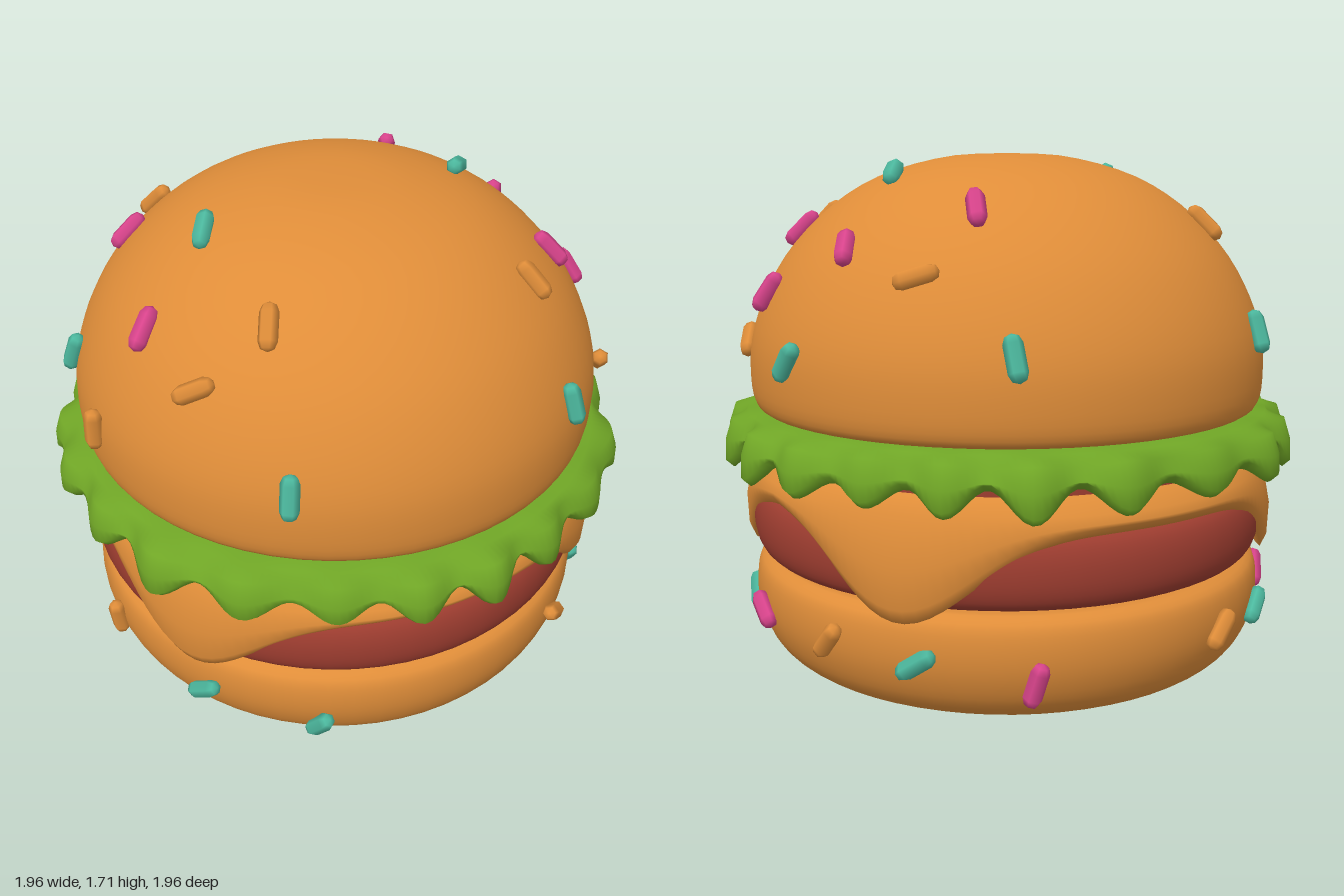
import * as THREE from 'three';
import { mergeVertices } from 'three/addons/utils/BufferGeometryUtils.js';

const mat = (name, color) => Object.assign(new THREE.MeshStandardMaterial({ color }), { name });
const DEG = Math.PI / 180;

// Profile with the rounded middle smoothed and straight runs to the axis
function roundProfile(start, middle, end) {
  const v = (p) => new THREE.Vector2(p[0], p[1]);
  const curve = new THREE.SplineCurve(middle.map(v)).getPoints(middle.length * 3);
  return [...start.map(v), ...curve, ...end.map(v)];
}

// Ring surface whose cross-section changes with the angle around y
function sweep(profileAt, segments) {
  const count = profileAt(0).length;
  const dummy = Array.from({ length: count }, (_, i) => new THREE.Vector2(1, i));
  const geo = new THREE.LatheGeometry(dummy, segments);
  for (let s = 0; s <= segments; s++) {
    const a = ((s % segments) / segments) * Math.PI * 2;
    profileAt(a).forEach(([r, y], i) => {
      geo.attributes.position.setXYZ(s * count + i, r * Math.sin(a), y, r * Math.cos(a));
    });
  }
  geo.deleteAttribute('uv');
  geo.deleteAttribute('normal');
  const merged = mergeVertices(geo);
  merged.computeVertexNormals();
  return merged;
}

// Cheese slice: four corners hang down over the patty
const corners = [51, 124, -58, -129];
function cheeseProfile(a) {
  let e = 0;
  for (const c of corners) {
    const d = Math.abs(((a / DEG - c + 540) % 360 + 360) % 360 - 180);
    e = Math.max(e, Math.exp(-((d / 19) ** 2)));
  }
  const b = 0.62 - 0.265 * e;
  return [
    [0.6, 0.64], [0.83 + 0.05 * e, 0.64], [0.84 + 0.04 * e, b + 0.01], [0.86 + 0.035 * e, b - 0.005],
    [0.88 + 0.035 * e, b + 0.02 + 0.02 * e], [0.88 + 0.04 * e, (b + 0.68) / 2],
    [0.87 + 0.02 * e, 0.675], [0.83, 0.72], [0.75, 0.745], [0, 0.75],
  ];
}

// Lettuce leaf: ruffled outer rim
function lettuceProfile(a) {
  const w = Math.sin(22 * a + 0.9 * Math.sin(3 * a)) * (0.8 + 0.2 * Math.sin(5 * a + 1));
  const R = 0.96 + 0.025 * w + 0.012 * Math.sin(7 * a + 2);
  const yb = 0.735 - 0.045 * w;
  return [
    [0.7, 0.79], [0.85, 0.785 - 0.01 * w], [0.91, yb + 0.02], [R - 0.025, yb - 0.008], [R, yb + 0.015],
    [R - 0.002, 0.785 - 0.01 * w], [R - 0.025, 0.84 + 0.01 * w], [0.89, 0.865], [0.8, 0.875], [0.6, 0.875],
  ];
}

const lowerBun = [[0.66, 0], [0.76, 0.03], [0.83, 0.09], [0.87, 0.18], [0.88, 0.27], [0.865, 0.345], [0.82, 0.375]];
const upperBun = [
  [0.82, 0.865], [0.86, 0.885], [0.877, 0.96], [0.87, 1.1], [0.82, 1.25], [0.73, 1.4],
  [0.59, 1.54], [0.42, 1.64], [0.2, 1.7], [0, 1.71],
];

// Sprinkles: [azimuth from the front, height, roll from upright, colour]
const upperSprinkles = [
  [-35, 1.13, 0, 't'], [31, 1.16, 0, 't'], [-58, 1.35, 55, 'o'], [-44, 1.52, -10, 'o'], [-78, 1.42, -15, 'p'],
  [-84, 1.08, 0, 'o'], [-87, 1.625, -50, 't'], [-106, 1.15, 10, 't'], [-123, 1.46, -20, 'p'],
  [-141, 1.47, 0, 'o'], [-149, 1.14, 10, 't'], [146, 1.13, -10, 't'], [125, 1.34, 70, 'o'],
  [136, 1.53, -12, 'p'], [96, 1.08, 35, 't'], [103, 1.41, -30, 'p'], [90, 1.63, -45, 't'],
  [57, 1.08, -50, 'o'], [77, 1.26, 15, 'p'], [61, 1.45, 5, 'p'], [39, 1.48, 0, 'o'],
];
const lowerSprinkles = [
  [-85, 0.24, 0, 'o'], [-56, 0.22, 55, 't'], [-30, 0.17, 30, 't'], [32, 0.26, -55, 'o'], [58, 0.18, -35, 't'],
  [82, 0.24, -55, 'p'], [107, 0.25, 40, 'o'], [127, 0.23, 55, 't'], [150, 0.18, 15, 'p'],
  [-167, 0.24, 40, 'o'], [-148, 0.23, 55, 't'], [-124, 0.24, 35, 'p'],
];

export function createModel() {
  const model = new THREE.Group();
  model.name = 'burger';
  const bun = mat('toasted orange', 0xdf8d39);
  const patty = mat('meat red', 0x9e3d30);
  const leaf = mat('leaf green', 0x70a626);
  const teal = mat('teal', 0x4cb89e);
  const pink = mat('pink', 0xd9448c);
  leaf.side = THREE.DoubleSide;

  const add = (name, geo, material, parent = model) => {
    const mesh = new THREE.Mesh(geo, material);
    mesh.name = name;
    parent.add(mesh);
    return mesh;
  };

  // Stacked layers
  add('lowerBun', new THREE.LatheGeometry(roundProfile([[0, 0]], lowerBun, [[0, 0.38]]), 64), bun);
  const pattyEdge = [[0.8, 0.375], [0.855, 0.4], [0.88, 0.46], [0.88, 0.54], [0.855, 0.6], [0.8, 0.625]];
  add('patty', new THREE.LatheGeometry(roundProfile([[0, 0.37]], pattyEdge, [[0, 0.66]]), 64), patty);
  add('cheese', sweep(cheeseProfile, 144), bun);
  const slice = add('tomatoSlice', new THREE.CylinderGeometry(0.84, 0.84, 0.08, 48), patty);
  slice.position.y = 0.77;
  add('lettuce', sweep(lettuceProfile, 264), leaf);
  add('upperBun', new THREE.LatheGeometry(roundProfile([[0, 0.865]], upperBun, []), 64), bun);

  // Sprinkles laid flat on the bun surfaces
  const capsule = new THREE.CapsuleGeometry(0.03, 0.085, 2, 6);
  const colours = { t: teal, p: pink, o: bun };
  const scatter = (name, list, profile) => {
    const group = new THREE.Group();
    group.name = name;
    model.add(group);
    for (const [az, y, roll, key] of list) {
      const i = profile.findIndex((p) => p[1] > y);
      const [r0, y0] = profile[i - 1], [r1, y1] = profile[i];
      const r = r0 + ((r1 - r0) * (y - y0)) / (y1 - y0);
      const s = Math.sin(az * DEG), c = Math.cos(az * DEG);
      const up = new THREE.Vector3((r1 - r0) * s, y1 - y0, (r1 - r0) * c).normalize();
      const east = new THREE.Vector3(c, 0, -s);
      const out = new THREE.Vector3().crossVectors(east, up);
      const along = up.clone().multiplyScalar(Math.cos(roll * DEG)).addScaledVector(east, Math.sin(roll * DEG));
      const side = new THREE.Vector3().crossVectors(along, out);
      const mesh = add('sprinkle', capsule, colours[key], group);
      mesh.quaternion.setFromRotationMatrix(new THREE.Matrix4().makeBasis(side, along, out));
      mesh.position.set(r * s, y, r * c).addScaledVector(out, 0.018);
    }
  };
  scatter('upperSprinkles', upperSprinkles, upperBun);
  scatter('lowerSprinkles', lowerSprinkles, lowerBun);
  return model;
}
